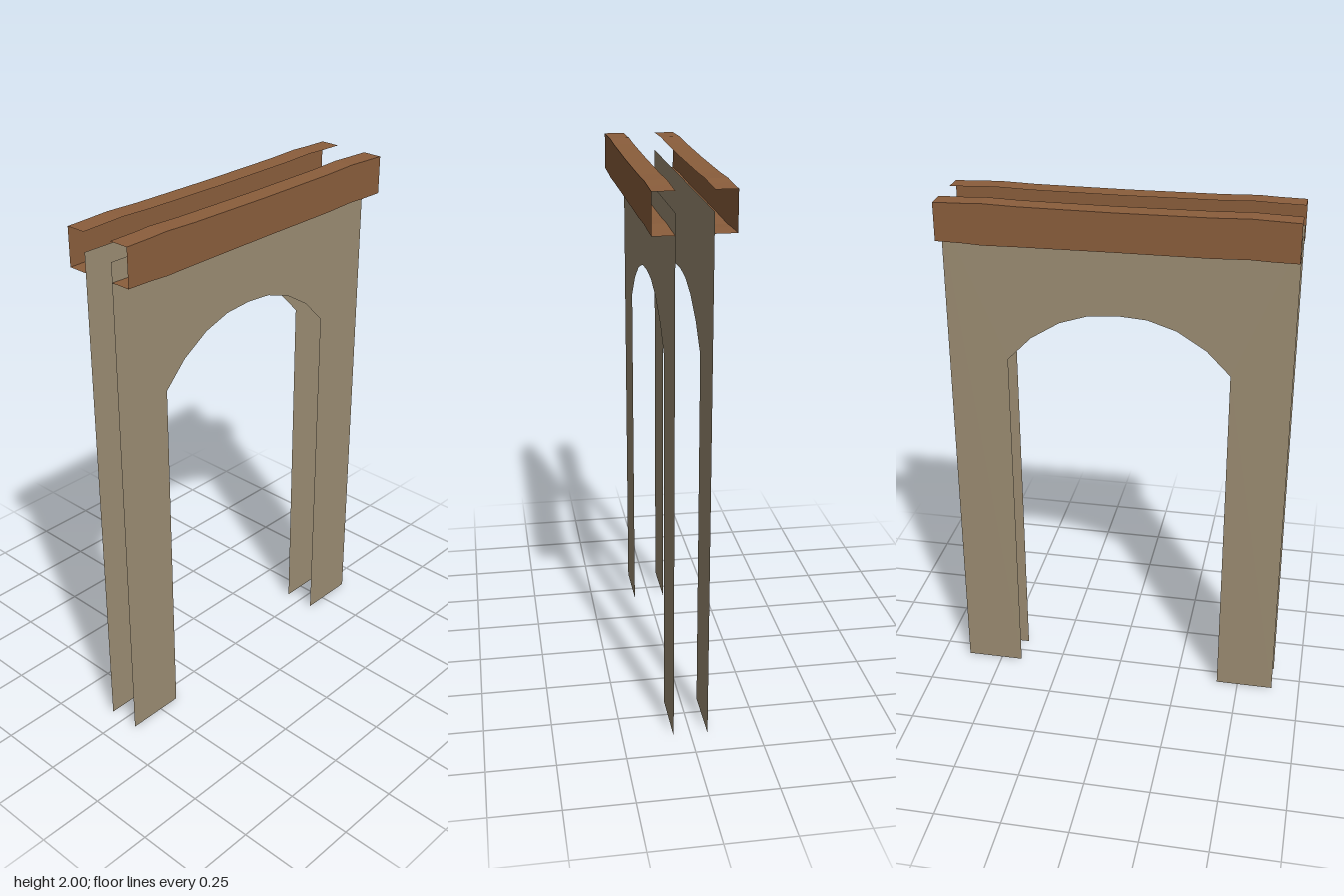
import * as THREE from 'three';

const HALF = 0.64;          // half width of the gate
const Z_WALL = 0.063;       // wall sheet
const Z_BEAM = 0.139;       // outer face of the beam

const stone = new THREE.MeshStandardMaterial({ color: 0x9c8d73, side: THREE.DoubleSide });
stone.name = 'tan stone';
const wood = new THREE.MeshStandardMaterial({ color: 0x8b5e3c, side: THREE.DoubleSide });
wood.name = 'brown wood';

// Flat wall with an arched opening, its top tucked behind the beam
function wallGeometry() {
  const arch = [[0.415, 1.385], [0.325, 1.477], [0.216, 1.545], [0.108, 1.58]];
  const outline = [
    [-HALF, 0], [-0.415, 0],
    ...arch.map(([x, y]) => [-x, y]),
    [0, 1.588],
    ...arch.slice().reverse(),
    [0.415, 0], [HALF, 0], [HALF, 1.925], [-HALF, 1.925],
  ];
  const shape = new THREE.Shape(outline.map(([x, y]) => new THREE.Vector2(x, y)));
  return new THREE.ShapeGeometry(shape).translate(0, 0, Z_WALL);
}

// Hollow beam, open at the ends and back, with slightly uneven edges
function beamGeometry() {
  const stations = [ // x, bottom, top
    [-HALF, 1.855, 1.995], [-0.54, 1.853, 1.997], [-0.47, 1.849, 2], [-0.34, 1.851, 1.996],
    [0, 1.853, 1.994], [0.34, 1.853, 1.996], [0.47, 1.857, 2], [0.55, 1.854, 1.997],
    [HALF, 1.853, 1.994],
  ];
  const positions = [];
  const index = [];
  stations.forEach(([x, low, high], i) => {
    positions.push(x, low, Z_WALL, x, low, Z_BEAM, x, high, Z_BEAM, x, high, Z_WALL);
    if (i === 0) return;
    for (let j = 0; j < 3; j++) {
      const a = (i - 1) * 4 + j, b = i * 4 + j;
      index.push(a, b, b + 1, a, b + 1, a + 1);
    }
  });
  const indexed = new THREE.BufferGeometry();
  indexed.setAttribute('position', new THREE.Float32BufferAttribute(positions, 3));
  indexed.setIndex(index);
  const geometry = indexed.toNonIndexed();
  geometry.computeVertexNormals();
  return geometry;
}

export function createModel() {
  const model = new THREE.Group();
  model.name = 'archway';
  const wall = wallGeometry();
  const beam = beamGeometry();

  // The back side is the front turned half around
  for (const [name, angle] of [['front', 0], ['back', Math.PI]]) {
    const side = new THREE.Group();
    side.name = `${name}Side`;
    const wallMesh = new THREE.Mesh(wall, stone);
    wallMesh.name = `${name}Wall`;
    const beamMesh = new THREE.Mesh(beam, wood);
    beamMesh.name = `${name}Beam`;
    side.add(wallMesh, beamMesh);
    side.rotation.y = angle;
    model.add(side);
  }
  return model;
}
